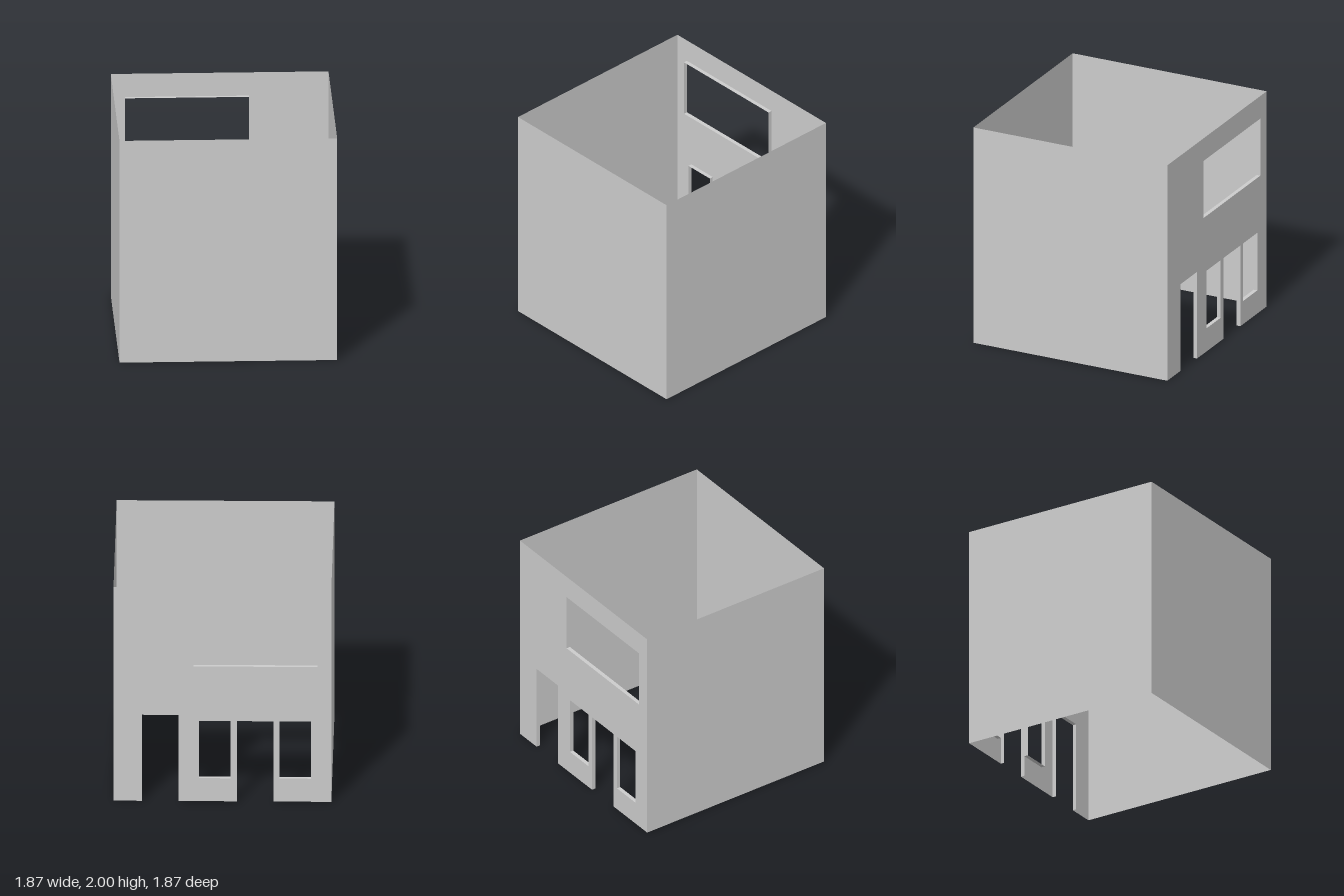
import * as THREE from 'three';

const W = 1.87, H = 2, R = W / 2; // footprint, height, half width
const REVEAL = 0.035;             // depth of the opening linings

// Openings in the back wall: x0, x1, bottom, top
const windows = [
  ['upperWindow', -0.815, 0.25, 1.26, 1.79],
  ['middleWindow', -0.07, 0.2, 0.215, 0.75],
  ['sideWindow', -0.76, -0.49, 0.215, 0.75],
];
const doors = [
  ['centreDoor', -0.44, -0.125, 0, 0.75],
  ['endDoor', 0.375, 0.69, 0, 0.805],
];

const material = new THREE.MeshStandardMaterial({ color: 0xcccccc, side: THREE.DoubleSide });

// Up one jamb, across the head and down the other
const outline = ([, x0, x1, y0, y1]) => [[x0, y0], [x0, y1], [x1, y1], [x1, y0]];

// Strip of flat faces running inward from the edge of an opening
function liningGeometry(points) {
  const pos = [];
  for (let i = 0; i < points.length - 1; i++) {
    const a = [...points[i], -R], b = [...points[i + 1], -R];
    const c = [...points[i + 1], -R + REVEAL], d = [...points[i], -R + REVEAL];
    pos.push(...a, ...b, ...c, ...a, ...c, ...d);
  }
  const g = new THREE.BufferGeometry();
  g.setAttribute('position', new THREE.Float32BufferAttribute(pos, 3));
  g.computeVertexNormals();
  return g;
}

export function createModel() {
  const group = new THREE.Group();
  const add = (name, geometry) => {
    const mesh = new THREE.Mesh(geometry, material);
    mesh.name = name;
    group.add(mesh);
    return mesh;
  };

  // Three plain walls, open above and below
  [['frontWall', 0], ['leftWall', Math.PI / 2], ['rightWall', -Math.PI / 2]].forEach(([name, turn]) => {
    const wall = add(name, new THREE.PlaneGeometry(W, H).translate(0, H / 2, R));
    wall.rotation.y = turn;
  });

  // Back wall: doors notch the lower edge, windows are holes
  const edge = [[-R, 0], ...doors.flatMap(outline), [R, 0], [R, H], [-R, H]];
  const toVectors = (pts) => pts.map(([x, y]) => new THREE.Vector2(x, y));
  const shape = new THREE.Shape(toVectors(edge));
  windows.forEach((w) => shape.holes.push(new THREE.Path(toVectors(outline(w)))));
  add('backWall', new THREE.ShapeGeometry(shape).translate(0, 0, -R));

  // Linings: doors have no threshold, windows close with a sill
  doors.forEach((d) => add(d[0] + 'Lining', liningGeometry(outline(d))));
  windows.forEach((w) => {
    const pts = outline(w);
    add(w[0] + 'Lining', liningGeometry([...pts, pts[0]]));
  });

  return group;
}
